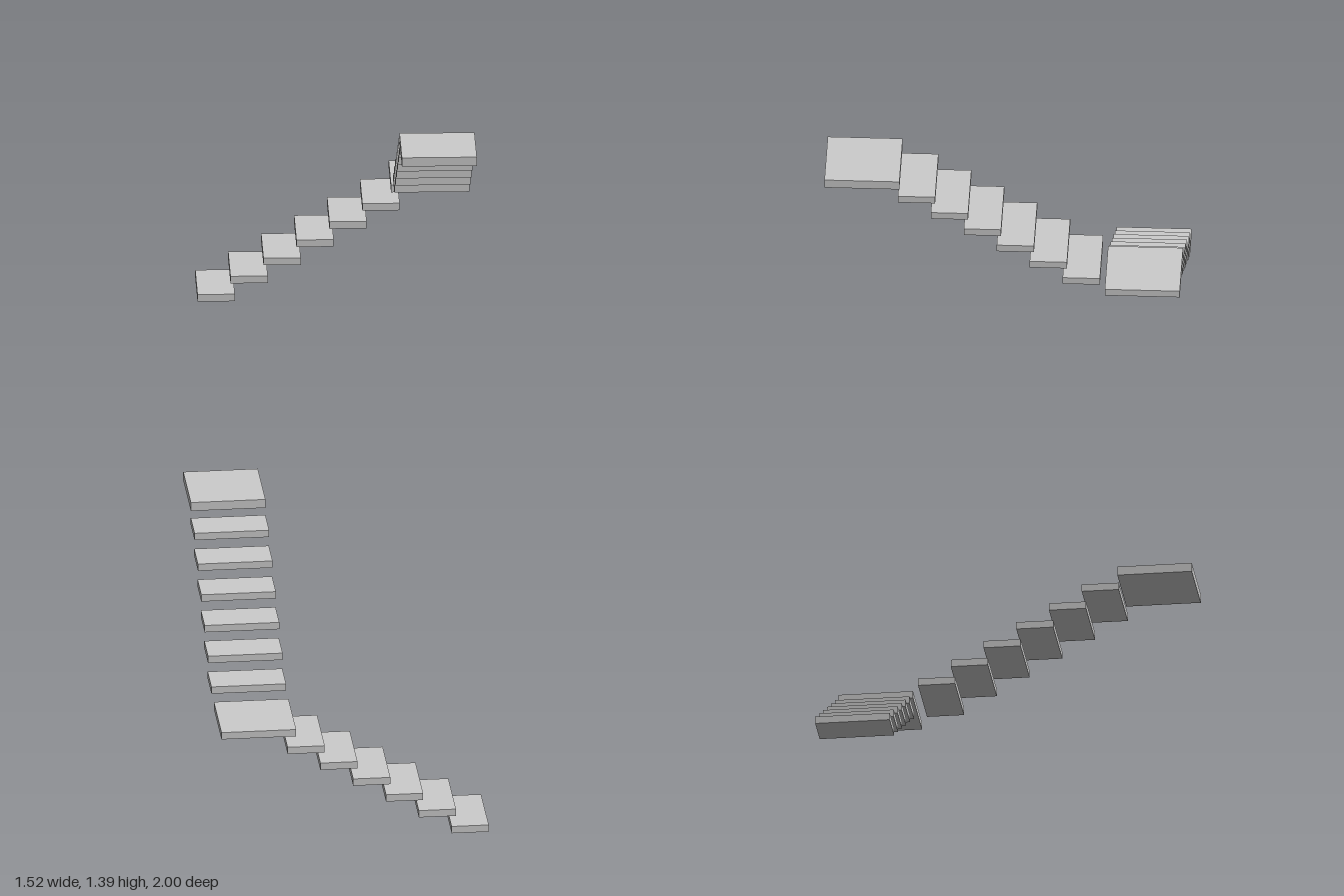
import * as THREE from 'three';

export function createModel() {
  const group = new THREE.Group();
  const material = new THREE.MeshStandardMaterial({ color: 0xcccccc, flatShading: true });

  const LONG = 0.422;   // tread length and landing side
  const DEPTH = 0.21;   // tread depth
  const THICK = 0.042;  // slab thickness
  const RUN = 0.1855;   // horizontal pitch
  const RISE = 0.1063;  // vertical pitch

  // slab placed by its minimum corner
  function slab(name, x, y, z, w, h, d) {
    const mesh = new THREE.Mesh(new THREE.BoxGeometry(w, h, d), material);
    mesh.position.set(x + w / 2, y + h / 2, z + d / 2);
    mesh.name = name;
    group.add(mesh);
  }

  // lower flight climbs towards +x, along the back
  for (let i = 0; i < 6; i++) {
    slab(`lowerStep${i + 1}`, -0.761 + i * RUN, i * RISE, -1, DEPTH, THICK, LONG);
  }

  // corner landing
  slab('cornerLanding', 0.328, 0.639, -1, LONG, THICK, LONG);

  // upper flight climbs towards the front
  for (let i = 0; i < 6; i++) {
    slab(`upperStep${i + 1}`, 0.339, 0.72 + i * RISE, -0.551 + i * RUN, LONG, THICK, DEPTH);
  }

  // top landing, slightly thicker
  slab('topLanding', 0.339, 1.341, 0.578, LONG, 0.052, LONG);

  return group;
}
